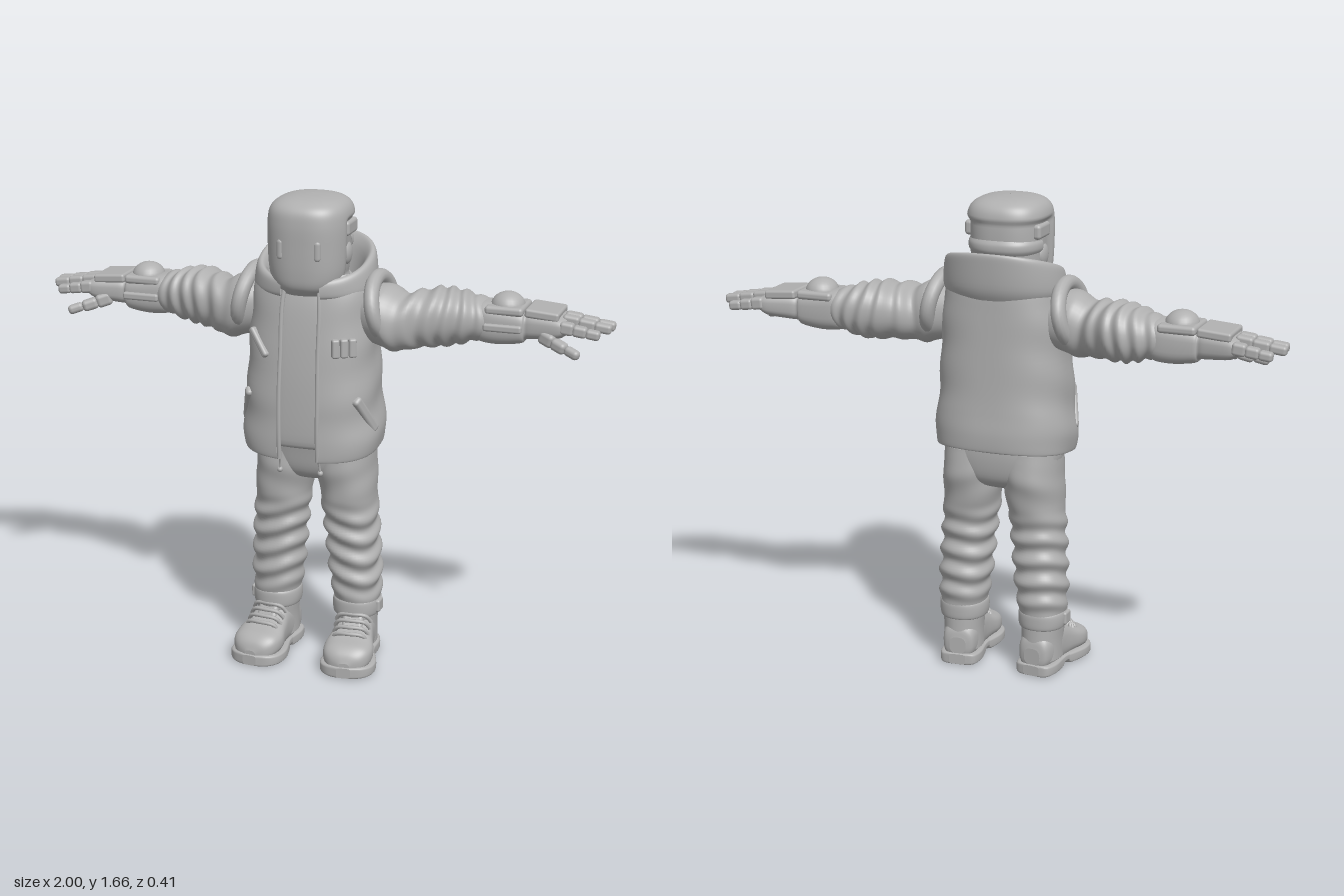
import * as THREE from 'three';
import { mergeVertices } from 'three/addons/utils/BufferGeometryUtils.js';
import { RoundedBoxGeometry } from 'three/addons/geometries/RoundedBoxGeometry.js';

const PI = Math.PI;
const spow = (v, e) => Math.sign(v) * Math.abs(v) ** e;
const bump = (v, a, b, s) => THREE.MathUtils.smoothstep(v, a - s, a + s) * (1 - THREE.MathUtils.smoothstep(v, b - s, b + s));

// Smooth loft of superellipse rows [h, a, b, ra, rb] along an axis.
// (a, b) are (x, z) along y, (z, y) along x and (y, x) along z.
function loft(rows, { axis = 'y', e = 0.9, seg = 40, sub = 5, gap = 0, caps = false, warp = null } = {}) {
  const pos = [], idx = [], rings = [];
  const row = i => rows[Math.min(Math.max(i, 0), rows.length - 1)];
  for (let i = 0; i < rows.length - 1; i++) {
    for (let k = 0; k < sub; k++) {
      const t = k / sub;
      rings.push(row(i).map((p1, c) => {
        const p0 = row(i - 1)[c], p2 = row(i + 1)[c], p3 = row(i + 2)[c];
        return p1 + 0.5 * t * (p2 - p0 + t * (2 * p0 - 5 * p1 + 4 * p2 - p3 + t * (3 * (p1 - p2) + p3 - p0)));
      }));
    }
  }
  rings.push(row(rows.length));
  const cols = gap ? seg + 1 : seg;
  const put = (h, a, b, th) => {
    const v = axis === 'y' ? new THREE.Vector3(a, h, b) : axis === 'x' ? new THREE.Vector3(h, b, a) : new THREE.Vector3(b, a, h);
    if (warp) warp(v, th);
    pos.push(v.x, v.y, v.z);
  };
  const ring = ([h, a, b, ra, rb]) => {
    for (let j = 0; j < cols; j++) {
      const th = PI / 2 + gap + j / seg * (2 * PI - 2 * gap);
      put(h, a + ra * spow(Math.cos(th), e), b + rb * spow(Math.sin(th), e), th);
    }
  };
  rings.forEach(ring);
  for (let i = 0; i < rings.length - 1; i++) {
    for (let j = 0; j < seg; j++) {
      const a = i * cols + j, c = i * cols + (j + 1) % cols, b = a + cols, d = c + cols;
      idx.push(a, b, c, b, d, c);
    }
  }
  if (caps) [rings[0], rings[rings.length - 1]].forEach((r, end) => {
    const s = pos.length / 3;
    ring(r);
    put(r[0], r[1], r[2], 0);
    for (let j = 0; j < seg; j++) {
      const p = s + j, q = s + (j + 1) % cols, m = s + cols;
      idx.push(...(end ? [m, q, p] : [m, p, q]));
    }
  });
  const g = new THREE.BufferGeometry();
  g.setAttribute('position', new THREE.Float32BufferAttribute(pos, 3));
  g.setIndex(idx);
  g.computeVertexNormals();
  return g;
}

const box = (w, h, d, r = 0.01) => new RoundedBoxGeometry(w, h, d, 3, r);
const tube = (pts, r, n = 24) => new THREE.TubeGeometry(new THREE.CatmullRomCurve3(pts.map(p => new THREE.Vector3(...p))), n, r, 8);

function mirrored(geo) {
  let g = geo.clone();
  if (!g.index) { g.deleteAttribute('uv'); g = mergeVertices(g); }
  g.scale(-1, 1, 1);
  g.setIndex(Array.from(g.index.array).reverse());
  return g;
}

export function createModel() {
  const model = new THREE.Group();
  const grey = new THREE.MeshStandardMaterial({ color: 0xb0b0b0, side: THREE.DoubleSide });
  grey.name = 'clay grey';
  const add = (name, geo) => {
    const m = new THREE.Mesh(geo, grey);
    m.name = name;
    model.add(m);
  };
  const pair = (name, geo) => { add(name + 'Left', geo); add(name + 'Right', mirrored(geo)); };

  // Helmet: full shell in front and on top, recessed at the sides and back
  add('helmet', loft([
    [1.33, 0, 0.035, 0.085, 0.1], [1.36, 0, 0.03, 0.117, 0.132], [1.41, 0, 0.028, 0.134, 0.143], [1.5, 0, 0.026, 0.14, 0.148],
    [1.57, 0, 0.026, 0.14, 0.148], [1.615, 0, 0.026, 0.131, 0.139], [1.64, 0, 0.024, 0.105, 0.112], [1.652, 0, 0.022, 0.06, 0.066], [1.656, 0, 0.02, 0.001, 0.001],
  ], { e: 0.8, seg: 72, sub: 8, warp: v => {
    const k = bump(v.y, 1.38, 1.58, 0.012) * (1 - THREE.MathUtils.smoothstep(v.z, 0.05, 0.07));
    v.x *= 1 - 0.1 * k;
    if (v.z < 0) v.z *= 1 - 0.07 * k;
  } }));
  pair('eyeSlit', new THREE.CapsuleGeometry(0.011, 0.045, 4, 10).scale(1, 1, 0.6).rotateY(0.2).translate(0.065, 1.49, 0.163));
  pair('earPad', box(0.03, 0.05, 0.1, 0.012).translate(0.121, 1.545, -0.005));
  pair('cheekPad', new THREE.SphereGeometry(0.04, 20, 14).scale(0.45, 1, 0.9).translate(0.118, 1.46, 0.015));
  add('backBand', loft([[1.47, 0, 0.02, 0.122, 0.134], [1.485, 0, 0.02, 0.13, 0.142], [1.505, 0, 0.02, 0.13, 0.142], [1.52, 0, 0.02, 0.122, 0.134]], { gap: 1.7, e: 0.8 }));

  // Shirt and open jacket with tilted hem
  add('shirt', loft([
    [0.8, 0, -0.01, 0.2, 0.15], [0.83, 0, -0.01, 0.218, 0.167], [1.0, 0, -0.01, 0.208, 0.168], [1.15, 0, -0.01, 0.2, 0.158],
    [1.28, 0, -0.015, 0.18, 0.146], [1.36, 0, -0.01, 0.13, 0.12], [1.39, 0, 0, 0.1, 0.1],
  ], { e: 0.77, caps: true }));
  const jacketRows = [
    [0.82, 0, -0.01, 0.218, 0.172], [0.792, 0, -0.01, 0.228, 0.182], [0.795, 0, -0.01, 0.237, 0.189], [0.85, 0, -0.01, 0.24, 0.191],
    [0.92, 0, -0.008, 0.232, 0.187], [1.0, 0, -0.006, 0.226, 0.184], [1.15, 0, -0.01, 0.218, 0.175],
    [1.28, 0, -0.015, 0.211, 0.166], [1.36, 0, -0.02, 0.195, 0.157], [1.4, 0, -0.02, 0.165, 0.14],
  ];
  const tilt = v => {
    v.y -= 0.13 * v.z * (1 - THREE.MathUtils.smoothstep(v.y, 0.8, 1.2));
    v.x += 0.003 * Math.sin(v.y * 38 + v.z * 14) * Math.sign(v.x);
  };
  add('jacket', loft(jacketRows, { e: 0.77, gap: 0.21, seg: 72, sub: 6, warp: tilt }));
  pair('frontPlacket', tube([[0.068, 0.768, 0.168], [0.068, 0.85, 0.173], [0.068, 1.0, 0.17], [0.066, 1.15, 0.157], [0.066, 1.28, 0.143], [0.06, 1.36, 0.13]], 0.008));
  pair('hemCord', tube([[0.068, 0.775, 0.165], [0.07, 0.75, 0.155], [0.072, 0.73, 0.152]], 0.004, 8));
  pair('hemToggle', new THREE.SphereGeometry(0.01, 12, 8).translate(0.072, 0.722, 0.15));

  // Collar rises to the back, with thickness folded over the rim
  add('collar', loft([
    [1.325, 0, -0.02, 0.196, 0.16], [1.35, 0, -0.022, 0.208, 0.175], [1.4, 0, -0.024, 0.203, 0.182], [1.425, 0, -0.025, 0.194, 0.18],
    [1.428, 0, -0.025, 0.178, 0.168], [1.4, 0, -0.022, 0.16, 0.15], [1.34, 0, -0.015, 0.14, 0.13],
  ], { gap: 0.3, seg: 64, warp: v => {
    v.y -= 0.32 * v.z * THREE.MathUtils.smoothstep(v.y, 1.3, 1.41);
  } }));

  // Pockets, chest zip and patch
  pair('sidePocket', box(0.03, 0.16, 0.036, 0.012).rotateX(0.65).rotateY(-0.44).translate(0.208, 0.925, 0.083));
  add('chestZip', box(0.115, 0.024, 0.025, 0.009).rotateZ(-0.82).rotateY(-0.55).translate(-0.148, 1.16, 0.138));
  for (const k of [-1, 0, 1]) {
    add('chestPatch', box(0.026, 0.064, 0.026, 0.007).translate(k * 0.029, 0, 0).rotateY(0.55).translate(0.15, 1.165, 0.138));
  }

  // Armholes and wrinkled sleeves
  pair('armholeTrim', new THREE.TorusGeometry(0.098, 0.026, 14, 40).scale(1.18, 1, 1).rotateY(PI / 2).rotateZ(0.2).translate(0.235, 1.28, -0.02));
  pair('sleeve', loft([
    [0.15, -0.02, 1.26, 0.09, 0.09], [0.24, -0.015, 1.25, 0.115, 0.105], [0.275, -0.015, 1.238, 0.115, 0.107], [0.31, -0.02, 1.232, 0.106, 0.092],
    [0.345, -0.04, 1.24, 0.115, 0.1], [0.375, -0.055, 1.24, 0.105, 0.092], [0.41, -0.07, 1.245, 0.118, 0.103], [0.435, -0.078, 1.245, 0.106, 0.092],
    [0.46, -0.085, 1.245, 0.112, 0.101], [0.485, -0.09, 1.245, 0.096, 0.086], [0.51, -0.092, 1.245, 0.1, 0.092], [0.535, -0.095, 1.245, 0.082, 0.075],
    [0.56, -0.098, 1.245, 0.082, 0.076], [0.59, -0.1, 1.245, 0.06, 0.06],
  ], { axis: 'x', warp: (v, th) => { v.x += 0.011 * Math.sin(th * 2 + v.x * 14); } }));

  // Gauntlets
  pair('gauntlet', loft([
    [0.55, -0.1, 1.243, 0.06, 0.062], [0.57, -0.1, 1.24, 0.074, 0.07], [0.63, -0.1, 1.235, 0.076, 0.068], [0.7, -0.1, 1.235, 0.072, 0.058],
    [0.715, -0.102, 1.237, 0.064, 0.046], [0.74, -0.104, 1.24, 0.07, 0.046], [0.82, -0.107, 1.242, 0.08, 0.04], [0.852, -0.107, 1.245, 0.076, 0.026],
  ], { axis: 'x', e: 0.65, caps: true }));
  pair('wristPad', box(0.13, 0.03, 0.15, 0.012).translate(0.645, 1.29, -0.102));
  pair('wristDome', new THREE.SphereGeometry(0.058, 24, 16).scale(1, 0.85, 1.05).translate(0.645, 1.294, -0.1));
  pair('handPlate', box(0.115, 0.03, 0.145, 0.009).rotateZ(-0.08).translate(0.772, 1.285, -0.108));
  pair('sideStrap', box(0.13, 0.026, 0.02, 0.008).translate(0.645, 1.235, -0.022));

  // Segmented fingers and thumb
  [[-0.172, 0.965, 1.248], [-0.13, 1.0, 1.262], [-0.087, 0.995, 1.262], [-0.046, 0.965, 1.248]].forEach(([z, tip, y]) => {
    const len = (tip - 0.835) / 3;
    for (let k = 0; k < 3; k++) {
      pair('fingerSegment', box(len + 0.004, 0.042 - k * 0.005, 0.038 - k * 0.002, 0.011)
        .rotateZ(-0.12).translate(0.835 + len * (k + 0.5), y - k * 0.007, z));
    }
  });
  [[0.795, 1.208, -0.045, 0.052], [0.838, 1.192, -0.022, 0.044], [0.885, 1.178, -0.004, 0.036]].forEach(([x, y, z, s]) =>
    pair('thumbSegment', box(0.056, s * 0.9, s * 0.9, 0.014).rotateZ(-0.3).rotateY(-0.4).translate(x, y, z)));

  // Trousers: seat plus legs with gathered folds towards the ankle
  add('trouserSeat', loft([
    [0.655, 0, -0.03, 0.04, 0.05], [0.675, 0, -0.03, 0.11, 0.095], [0.71, 0, -0.032, 0.18, 0.12], [0.78, 0, -0.03, 0.208, 0.133], [0.86, 0, -0.02, 0.2, 0.14],
  ], { e: 0.8, caps: true }));
  pair('trouserLeg', loft([
    [0.18, 0.147, -0.038, 0.07, 0.078], [0.22, 0.147, -0.04, 0.08, 0.088], [0.3, 0.142, -0.038, 0.087, 0.095], [0.4, 0.135, -0.034, 0.09, 0.096],
    [0.5, 0.128, -0.03, 0.092, 0.1], [0.6, 0.118, -0.03, 0.096, 0.112], [0.7, 0.11, -0.033, 0.099, 0.13], [0.8, 0.105, -0.03, 0.1, 0.125],
  ], { seg: 48, sub: 12, caps: true, warp: (v, th) => {
    const f = 1 + 0.075 * bump(v.y, 0.24, 0.55, 0.06) * Math.sin(v.y * 82 + 1.4 * Math.sin(th + 0.6) + Math.sin(th * 2))
      + 0.02 * bump(v.y, 0.55, 0.72, 0.05) * Math.sin(v.y * 50 + th * 2);
    v.x = 0.135 + (v.x - 0.135) * f;
    v.z = -0.035 + (v.z + 0.035) * f;
  } }));

  // Boots, turned out slightly
  const boot = (name, geo) => pair(name, geo.rotateY(0.1).translate(0.152, 0, 0));
  boot('bootSole', loft([
    [-0.136, 0.021, 0, 0.018, 0.03], [-0.125, 0.021, 0, 0.021, 0.06], [-0.08, 0.021, 0, 0.021, 0.073], [-0.02, 0.021, 0, 0.021, 0.07],
    [-0.005, 0.028, 0, 0.014, 0.07], [0.02, 0.028, 0, 0.014, 0.073], [0.035, 0.021, 0, 0.021, 0.078], [0.1, 0.021, 0, 0.021, 0.096],
    [0.155, 0.021, 0, 0.021, 0.092], [0.188, 0.021, 0, 0.021, 0.065], [0.202, 0.021, 0, 0.018, 0.025],
  ], { axis: 'z', e: 0.35, caps: true }));
  boot('bootUpper', loft([
    [-0.13, 0.07, 0, 0.03, 0.03], [-0.115, 0.08, 0, 0.06, 0.055], [-0.05, 0.09, 0, 0.08, 0.066], [0.01, 0.09, 0, 0.078, 0.068],
    [0.06, 0.08, 0, 0.06, 0.076], [0.11, 0.07, 0, 0.048, 0.087], [0.155, 0.062, 0, 0.044, 0.08], [0.183, 0.05, 0, 0.034, 0.055], [0.196, 0.04, 0, 0.015, 0.02],
  ], { axis: 'z', e: 0.75, caps: true }));
  boot('bootShaft', loft([[0.05, 0, -0.045, 0.068, 0.085], [0.12, 0, -0.043, 0.068, 0.083], [0.18, 0, -0.04, 0.072, 0.083], [0.2, 0, -0.04, 0.066, 0.078]], { caps: true }));
  boot('bootTongue', box(0.075, 0.09, 0.03, 0.014).rotateX(-0.6).translate(0, 0.16, 0.035));
  for (let k = 0; k < 4; k++) {
    const y = 0.178 - k * 0.016, z = 0.04 + k * 0.021;
    boot('bootLace', tube([[-0.062, y - 0.03, z - 0.012], [-0.045, y - 0.006, z], [0, y, z + 0.008], [0.045, y - 0.006, z], [0.062, y - 0.03, z - 0.012]], 0.007, 16));
  }

  // Ankle cuffs with side buckle
  pair('ankleCuff', loft([
    [0.163, 0.147, -0.038, 0.07, 0.078], [0.168, 0.147, -0.038, 0.08, 0.088], [0.195, 0.147, -0.038, 0.084, 0.09], [0.22, 0.147, -0.038, 0.081, 0.088], [0.226, 0.147, -0.038, 0.07, 0.078],
  ]));
  pair('cuffBuckle', box(0.02, 0.045, 0.05, 0.008).translate(0.228, 0.196, -0.03));
  return model;
}
